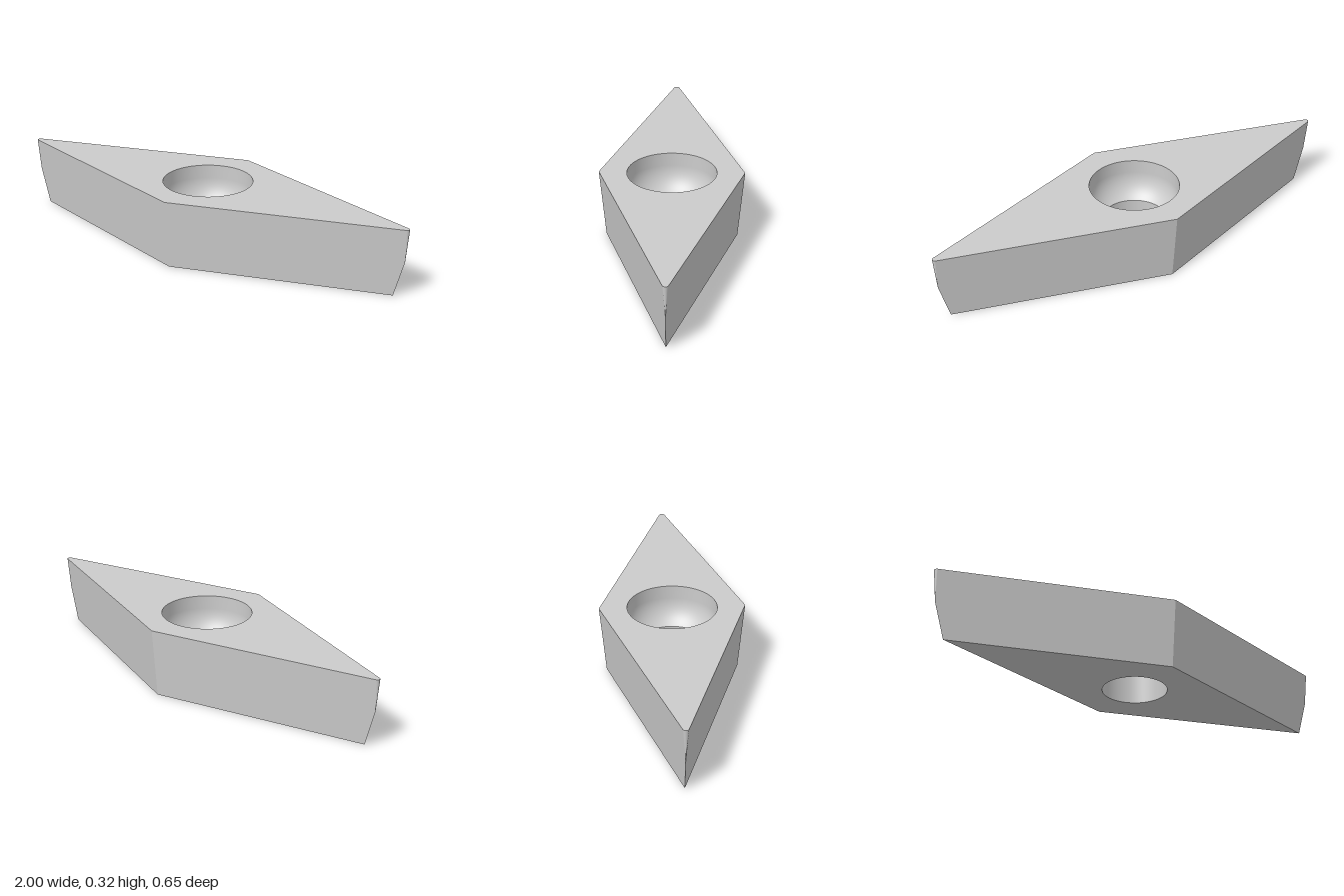
import * as THREE from 'three';

const TOP = 0.325, HALF = 0.325;
const RELIEF = Math.tan(THREE.MathUtils.degToRad(5));
const POINT = THREE.MathUtils.degToRad(35); // acute corner angle
const NOSE = 0.0136, NOSE_STEPS = 10;
const ACUTE = (1 + Math.cos(POINT)) / Math.sin(POINT);
const OBTUSE = (1 - Math.cos(POINT)) / Math.sin(POINT);

// Rhomboid outline at height y; the nose radius shrinks to a sharp edge lower down
function outline(y) {
  const d = (TOP - y) * RELIEF;
  const r = Math.max(0, NOSE - d);
  const half = [];
  const add = (x, z, radius, a) => half.push({
    x: x + radius * Math.cos(a), z: z + radius * Math.sin(a),
    nx: Math.cos(a), nz: Math.sin(a),
  });
  const a0 = Math.PI / 2, a1 = Math.PI / 2 - POINT, a2 = -Math.PI / 2;
  for (const a of [a0, a1]) add(0.103 - OBTUSE * d, HALF - d, 0, a);
  for (let i = 0; i <= NOSE_STEPS; i++) {
    add(1.03 - ACUTE * (d + r), -(HALF - d - r), r, a1 + (a2 - a1) * i / NOSE_STEPS);
  }
  // Half-turn symmetry gives the other two corners
  return [...half, ...half.map(p => ({ x: -p.x, z: -p.z, nx: -p.nx, nz: -p.nz }))];
}

function flankGeometry() {
  const heights = [0, TOP - NOSE / RELIEF, TOP];
  const pos = [], nor = [], idx = [];
  const n = outline(0).length;
  const c = 1 / Math.hypot(1, RELIEF);
  heights.forEach((y, k) => {
    outline(y).forEach((p, i) => {
      pos.push(p.x, y, p.z);
      nor.push(p.nx * c, -RELIEF * c, p.nz * c);
      if (k === 0) return;
      const j = (i + 1) % n, lo = (k - 1) * n, hi = k * n;
      idx.push(lo + i, lo + j, hi + j, lo + i, hi + j, hi + i);
    });
  });
  const g = new THREE.BufferGeometry();
  g.setAttribute('position', new THREE.Float32BufferAttribute(pos, 3));
  g.setAttribute('normal', new THREE.Float32BufferAttribute(nor, 3));
  g.setIndex(idx);
  return g;
}

// Flat face with a round opening
function faceGeometry(y, radius, up) {
  const s = up ? -1 : 1;
  const shape = new THREE.Shape(outline(y).map(p => new THREE.Vector2(p.x, s * p.z)));
  const hole = new THREE.Path();
  hole.absarc(0, 0, radius, 0, Math.PI * 2, true);
  shape.holes.push(hole);
  return new THREE.ShapeGeometry(shape, 36).rotateX(s * Math.PI / 2).translate(0, y, 0);
}

export function createModel() {
  const group = new THREE.Group();
  group.name = 'cuttingInsert';
  const material = new THREE.MeshStandardMaterial({ color: 0xcccccc });
  const add = (name, geometry) => {
    const mesh = new THREE.Mesh(geometry, material);
    mesh.name = name;
    group.add(mesh);
  };

  const rim = 0.21, bore = 0.152, bowl = 0.16, bowlTop = 0.26;
  add('flanks', flankGeometry());
  add('topFace', faceGeometry(TOP, rim, true));
  add('bottomFace', faceGeometry(0, bore, false));

  // Screw seat: straight wall curving inwards to the bore
  const end = Math.acos(1 - (rim - bore) / bowl);
  const seat = [new THREE.Vector2(rim, TOP)];
  for (let i = 0; i <= 10; i++) {
    const a = end * i / 10;
    seat.push(new THREE.Vector2(rim - bowl * (1 - Math.cos(a)), bowlTop - bowl * Math.sin(a)));
  }
  add('screwSeat', new THREE.LatheGeometry(seat, 72));

  // Straight bore through to the bottom
  const boreTop = seat[seat.length - 1].y;
  add('bore', new THREE.LatheGeometry(
    [new THREE.Vector2(bore, boreTop), new THREE.Vector2(bore, 0)], 72));
  return group;
}
